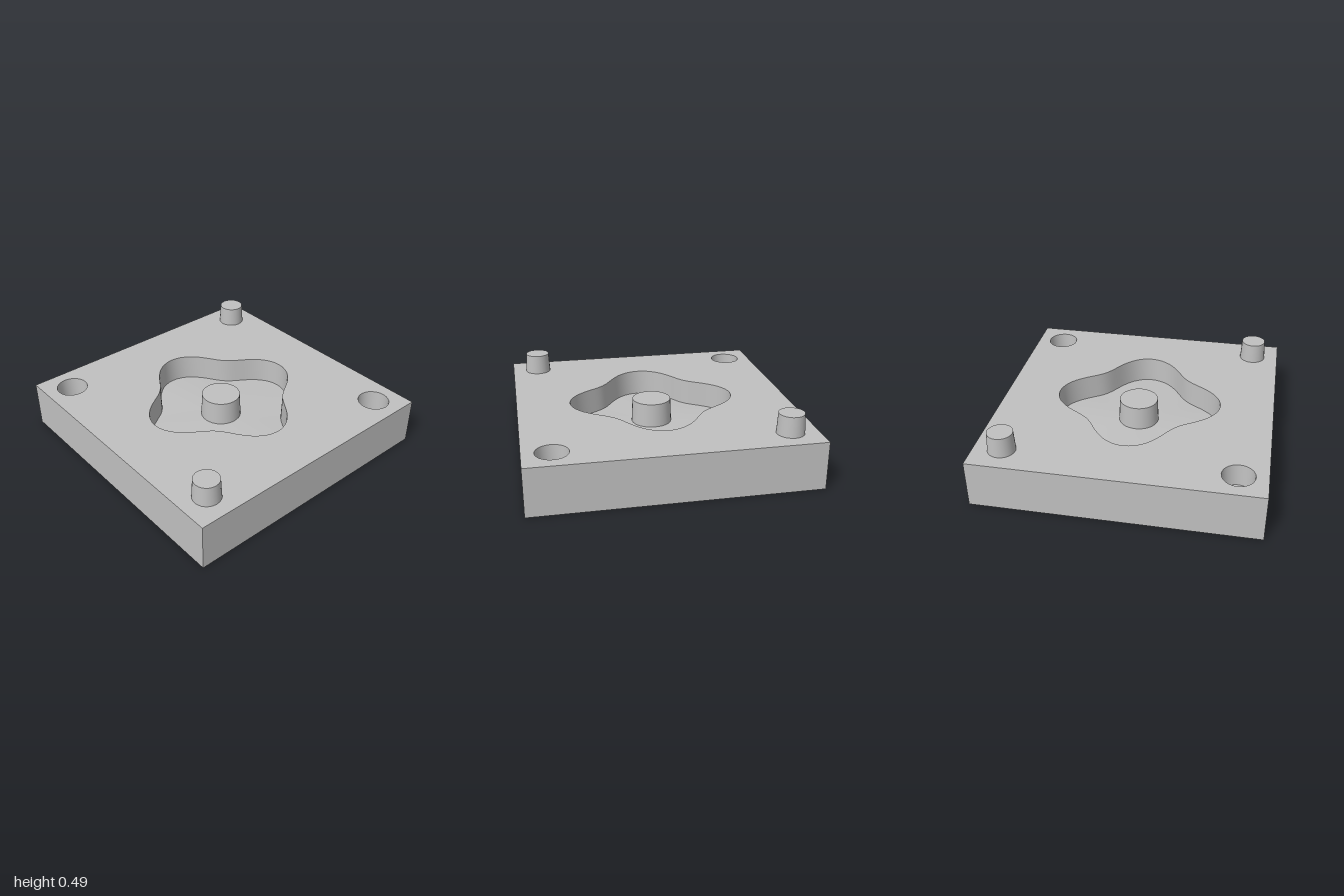
import * as THREE from 'three';

const TOP = 0.345;      // top of the block
const CORNER = 0.8;     // offset of pegs and sockets
const SEG = 96;

// four-lobed outline of the cavity
const lobes = (a) => 0.535 + 0.075 * Math.cos(4 * a);

// closed ring of points; radius is a function of the angle
function ring(radius, y, scale, n) {
  return Array.from({ length: n }, (_, i) => {
    const a = (i / n) * Math.PI * 2;
    const r = radius(a) * scale;
    return new THREE.Vector3(r * Math.cos(a), y, r * Math.sin(a));
  });
}

// skin joining successive rings; faces up from inner to outer, inward from low to high
function loft(rings) {
  const n = rings[0].length;
  const index = [];
  for (let k = 0; k < rings.length - 1; k++) {
    for (let i = 0; i < n; i++) {
      const a = k * n + i, b = k * n + (i + 1) % n;
      index.push(a, b, a + n, b, b + n, a + n);
    }
  }
  const g = new THREE.BufferGeometry().setFromPoints(rings.flat());
  g.setIndex(index);
  g.computeVertexNormals();
  return g;
}

export function createModel() {
  const model = new THREE.Group();
  const grey = new THREE.MeshStandardMaterial({ color: 0xc0c0c0 });
  grey.name = 'plain grey';

  const add = (name, geometry, x = 0, y = 0, z = 0) => {
    const mesh = new THREE.Mesh(geometry, grey);
    mesh.name = name;
    mesh.position.set(x, y, z);
    model.add(mesh);
  };

  // block sides and underside: a box without its top face
  const box = new THREE.BoxGeometry(2, TOP, 2);
  box.setIndex(Array.from(box.index.array).filter((_, i) => i < 12 || i >= 18));
  box.clearGroups();
  add('blockSides', box, 0, TOP / 2, 0);

  // top face, cut by the cavity and two sockets
  const face = new THREE.Shape([[-1, -1], [1, -1], [1, 1], [-1, 1]].map(([x, y]) => new THREE.Vector2(x, y)));
  const cut = (points, x, z) => face.holes.push(
    new THREE.Path(points.map((p) => new THREE.Vector2(p.x + x, -p.z - z))));
  const socketRadius = () => 0.113;
  cut(ring(lobes, 0, 1, SEG), 0, 0);
  for (const s of [-1, 1]) cut(ring(socketRadius, 0, 1, 24), s * CORNER, s * CORNER);
  add('topFace', new THREE.ShapeGeometry(face).rotateX(-Math.PI / 2), 0, TOP, 0);

  // cavity wall with slight draft, and gently domed floor
  const draft = 0.988;
  add('cavityWall', loft([ring(lobes, 0.155, draft, SEG), ring(lobes, TOP, 1, SEG)]));
  const floor = [0.2, 0.4, 0.6, 0.8, 1].map((t) => ring(lobes, 0.172 - 0.017 * t * t, t * draft, SEG));
  add('cavityFloor', loft(floor));

  // central post, flush with the top face
  add('centrePost', new THREE.CylinderGeometry(0.142, 0.15, 0.19, 32), 0, TOP - 0.095, 0);

  for (const s of [-1, 1]) {
    // tapered pegs on one diagonal
    add('locatingPeg', new THREE.CylinderGeometry(0.09, 0.098, 0.145, 24), s * CORNER, TOP + 0.0725, -s * CORNER);
    // sockets on the other diagonal
    const depth = TOP - 0.16;
    add('socketWall', loft([ring(socketRadius, depth, 0.93, 24), ring(socketRadius, TOP, 1, 24)]), s * CORNER, 0, s * CORNER);
    add('socketFloor', new THREE.CircleGeometry(0.113 * 0.93, 24).rotateX(-Math.PI / 2), s * CORNER, depth, s * CORNER);
  }
  return model;
}
